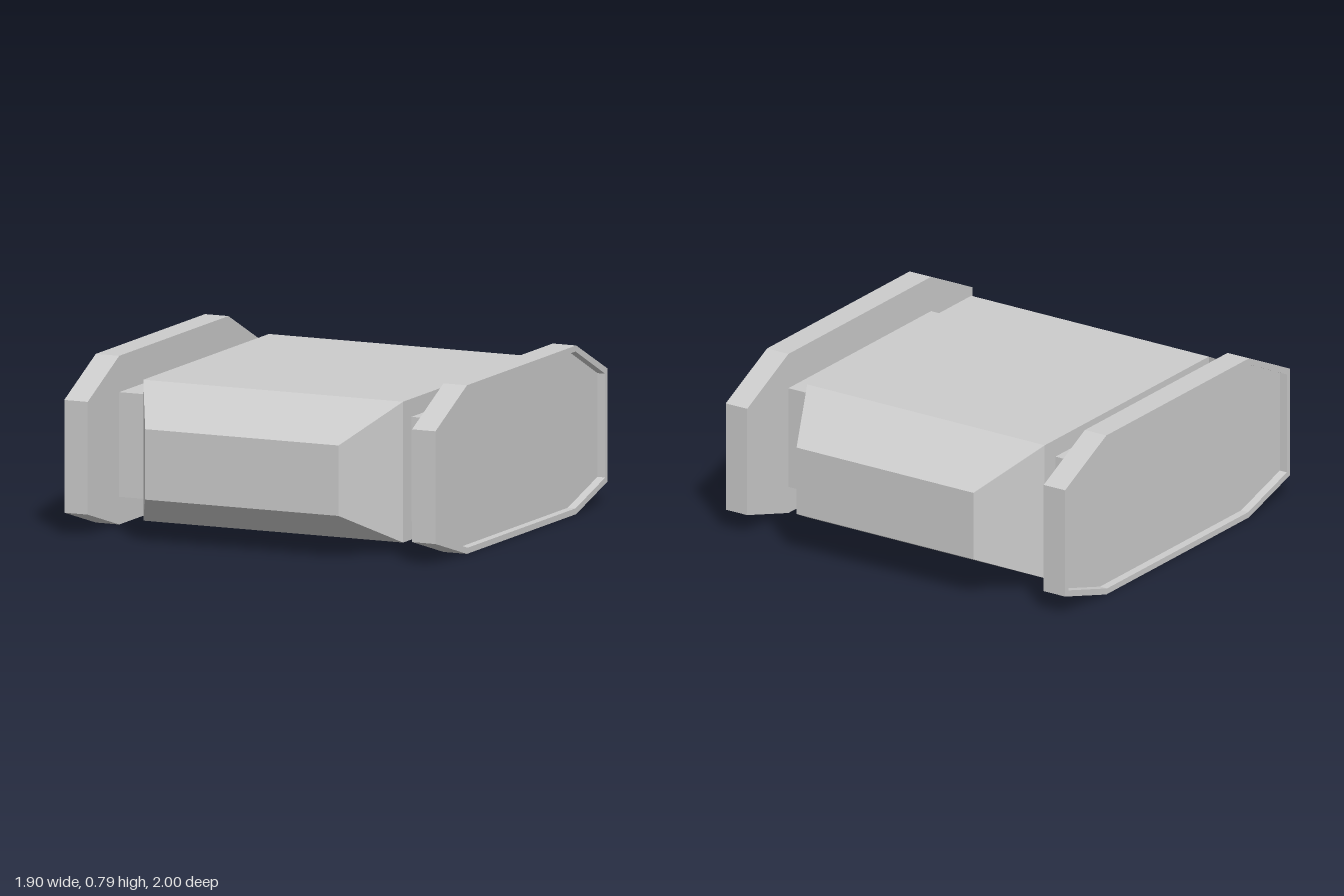
import * as THREE from 'three';

const material = new THREE.MeshStandardMaterial({ color: 0xcccccc, flatShading: true });

function add(parent, name, geometry) {
  const mesh = new THREE.Mesh(geometry, material);
  mesh.name = name;
  parent.add(mesh);
  return mesh;
}

// Eight-sided outline, symmetric front to back
function octagon(Type, endZ, flatZ, bottom, low, high, top) {
  return new Type([
    [-flatZ, bottom], [flatZ, bottom], [endZ, low], [endZ, high],
    [flatZ, top], [-flatZ, top], [-endZ, high], [-endZ, low],
  ].map(([z, y]) => new THREE.Vector2(z, y)));
}

// Extrude an outline sideways, from x0 to x1
function slab(shape, x0, x1) {
  return new THREE.ExtrudeGeometry(shape, { depth: x1 - x0, bevelEnabled: false })
    .rotateY(Math.PI / 2).translate(x0, 0, 0);
}

// Block whose front and back thirds taper to smaller ends
function hullGeometry() {
  const geometry = new THREE.BoxGeometry(1.33, 0.66, 2, 1, 1, 3);
  const p = geometry.attributes.position;
  for (let i = 0; i < p.count; i++) {
    if (Math.abs(p.getZ(i)) > 0.9) {
      p.setX(i, Math.sign(p.getX(i)) * 0.495);
      p.setY(i, Math.sign(p.getY(i)) * 0.165);
    } else {
      p.setZ(i, Math.sign(p.getZ(i)) * 0.667);
    }
  }
  const flat = geometry.toNonIndexed();
  flat.computeVertexNormals();
  return flat.translate(0, 0.375, 0);
}

export function createModel() {
  const model = new THREE.Group();
  model.name = 'model';
  add(model, 'hull', hullGeometry());

  // Side panels with a raised rim, each on a short connecting block
  for (const [side, turn] of [['left', 0], ['right', Math.PI]]) {
    const wing = new THREE.Group();
    wing.name = side + 'Wing';
    wing.rotation.y = turn;

    const connector = new THREE.BoxGeometry(0.18, 0.49, 1.16).translate(0.74, 0.375, 0);
    add(wing, side + 'Connector', connector);

    const outline = octagon(THREE.Shape, 0.915, 0.58, 0, 0.1, 0.628, 0.79);
    add(wing, side + 'Panel', slab(outline, 0.83, 0.91));

    const rim = outline.clone();
    rim.holes.push(octagon(THREE.Path, 0.888, 0.573, 0.028, 0.122, 0.608, 0.763));
    add(wing, side + 'Rim', slab(rim, 0.91, 0.95));

    model.add(wing);
  }
  return model;
}
